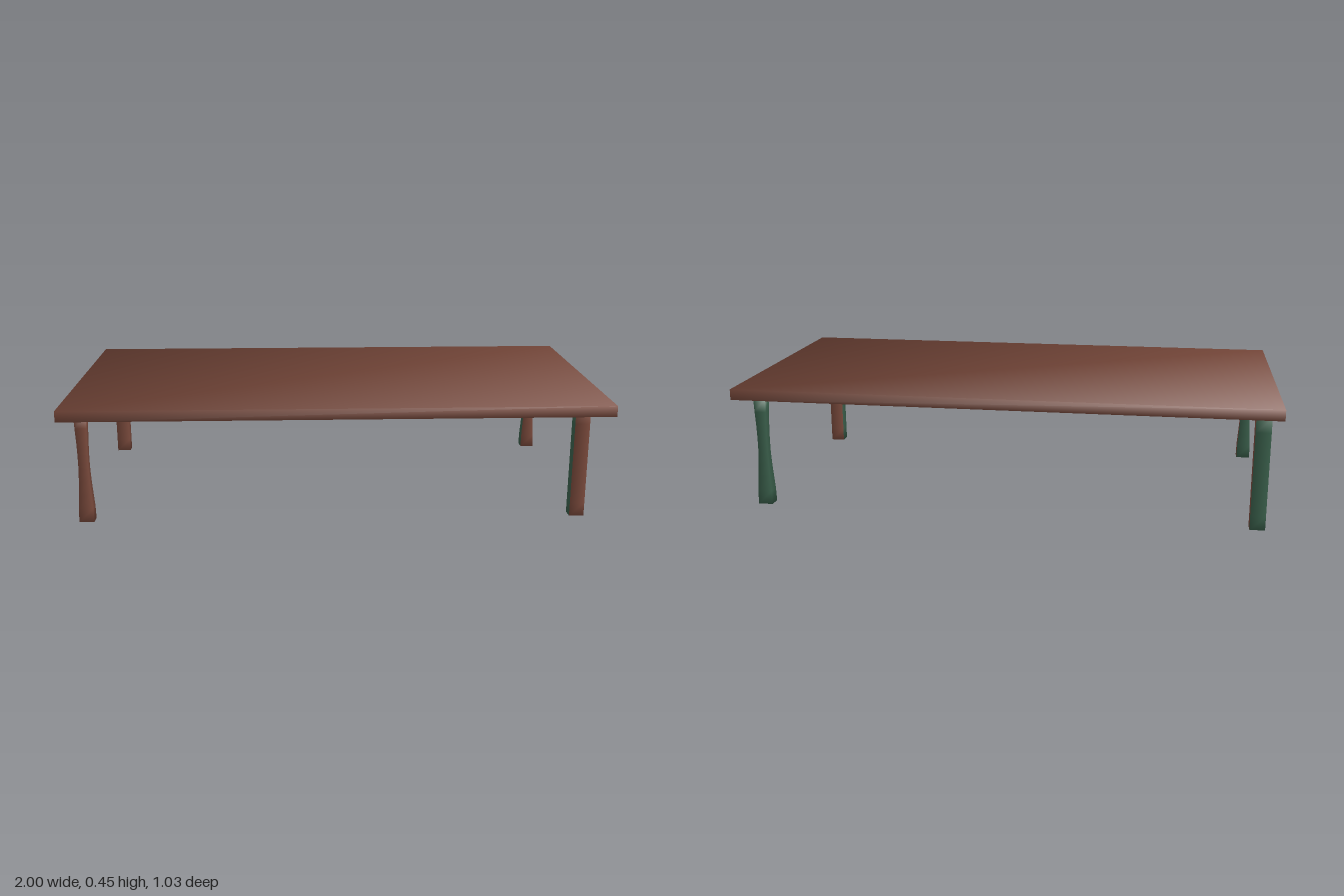
import * as THREE from 'three';

const BASE_TO_TOP = 0.412;

// Soft shading: every corner normal points outward along the corner diagonal
function softenNormals(geo, halfHeight) {
  const p = geo.attributes.position;
  const n = geo.attributes.normal;
  const v = new THREE.Vector3();
  for (let i = 0; i < p.count; i++) {
    const atEnd = Math.abs(Math.abs(p.getY(i)) - halfHeight) < 1e-4;
    v.set(Math.sign(p.getX(i)), atEnd ? Math.sign(p.getY(i)) : 0, Math.sign(p.getZ(i))).normalize();
    n.setXYZ(i, v.x, v.y, v.z);
  }
  return geo;
}

// Width of a waisted leg at height t (0 = floor, 1 = tabletop)
const WAIST = [1, 0.96, 0.84, 0.73, 0.66, 0.66, 0.7, 0.77, 0.83];

function legGeometry(waisted) {
  const rows = WAIST.length - 1;
  const geo = new THREE.BoxGeometry(0.055, BASE_TO_TOP, 0.045, 1, rows, 1);
  if (waisted) {
    const p = geo.attributes.position;
    for (let i = 0; i < p.count; i++) {
      const k = WAIST[Math.round((p.getY(i) / BASE_TO_TOP + 0.5) * rows)];
      p.setX(i, p.getX(i) * k);
      p.setZ(i, p.getZ(i) * k);
    }
  }
  return softenNormals(geo, BASE_TO_TOP / 2);
}

export function createModel() {
  const wood = new THREE.MeshStandardMaterial({ color: 0x7a4a3c });
  wood.name = 'brownWood';
  const green = new THREE.MeshStandardMaterial({ color: 0x3a5f4b });
  green.name = 'darkGreen';

  const table = new THREE.Group();
  table.name = 'coffeeTable';

  // Tabletop slab
  const top = new THREE.Mesh(softenNormals(new THREE.BoxGeometry(2, 0.04, 1.03), 0.02), wood);
  top.name = 'tabletop';
  top.position.y = BASE_TO_TOP + 0.02;
  table.add(top);

  // Legs: straight on one diagonal, waisted on the other; green on the back and right sides
  for (const [side, x] of [['Right', -0.9325], ['Left', 0.9025]]) {
    for (const [end, z] of [['front', 0.405], ['back', -0.465]]) {
      const backFace = x > 0 && z > 0 ? wood : green;
      const leg = new THREE.Mesh(legGeometry(x * z < 0), [wood, green, wood, green, wood, backFace]);
      leg.name = end + side + 'Leg';
      leg.position.set(x, BASE_TO_TOP / 2, z);
      table.add(leg);
    }
  }
  return table;
}
